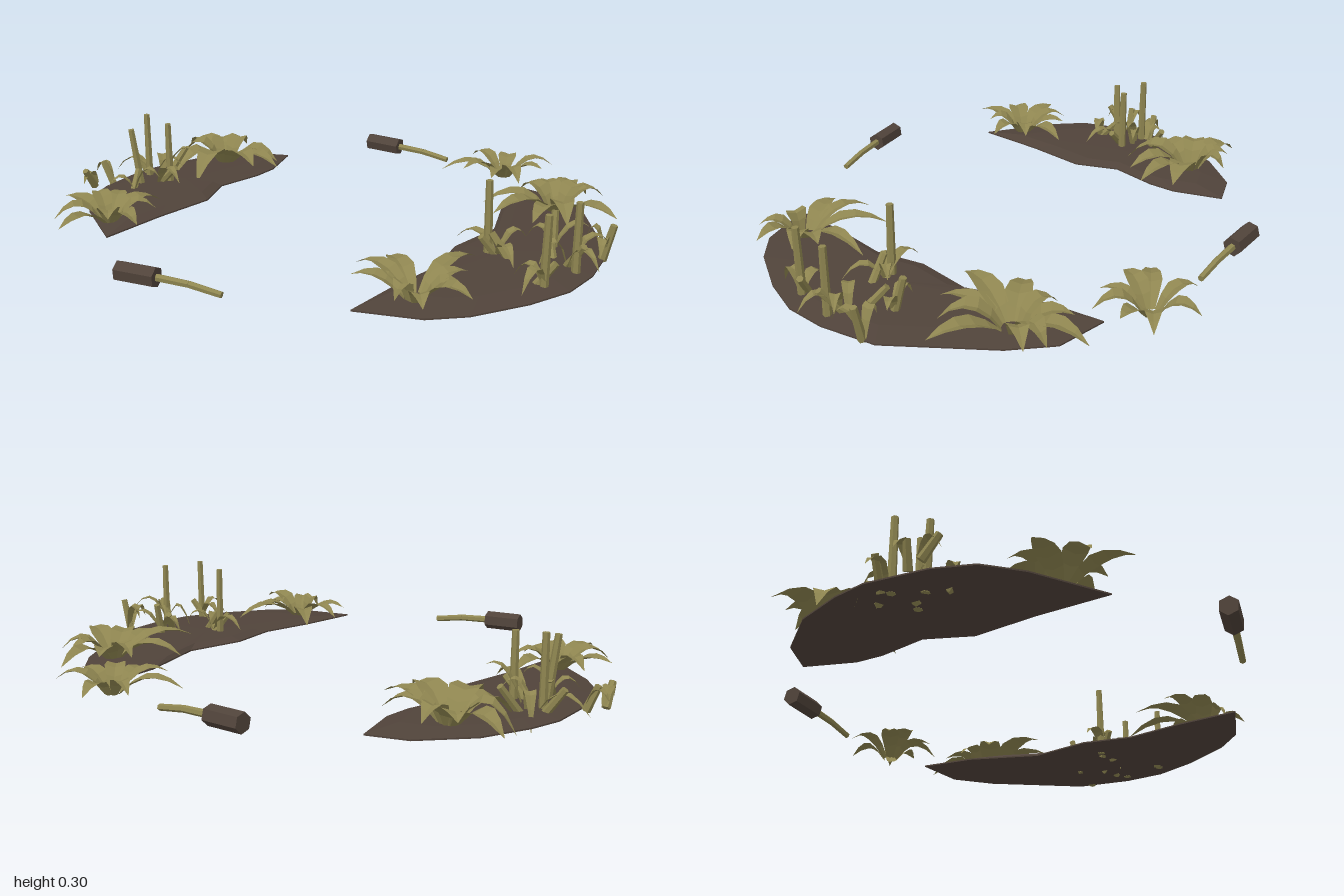
import * as THREE from 'three';

const mat = (name, color, side = THREE.FrontSide) => {
  const m = new THREE.MeshStandardMaterial({ color, side, flatShading: true });
  m.name = name;
  return m;
};
const leafMat = mat('olive leaf', 0x8e8550, THREE.DoubleSide);
const brown = mat('dark brown', 0x50433a);
const V = (x, y, z) => new THREE.Vector3(x, y, z);

function mesh(name, positions, material) {
  const g = new THREE.BufferGeometry();
  g.setAttribute('position', new THREE.Float32BufferAttribute(positions.flatMap(p => [p.x, p.y, p.z]), 3));
  g.computeVertexNormals();
  const m = new THREE.Mesh(g, material);
  m.name = name;
  return m;
}

// Low dome of soil over a flat underside; outline runs clockwise seen from above
function soil(name, outline) {
  const c = outline.reduce((s, [x, z]) => s.add(V(x, 0, z)), V(0, 0, 0)).divideScalar(outline.length);
  const at = (i, s, y) => {
    const [x, z] = outline[i % outline.length];
    return V(c.x + (x - c.x) * s, y, c.z + (z - c.z) * s);
  };
  const pts = [], top = V(c.x, 0.057, c.z), base = V(c.x, 0.036, c.z);
  for (let i = 0; i < outline.length; i++) {
    const a = at(i, 1, 0.041), b = at(i + 1, 1, 0.041);
    const ai = at(i, 0.75, 0.053), bi = at(i + 1, 0.75, 0.053);
    const al = at(i, 1, 0.036), bl = at(i + 1, 1, 0.036);
    pts.push(a, ai, b, b, ai, bi, ai, top, bi);
    pts.push(al, a, b, al, b, bl, al, bl, base);
  }
  return mesh(name, pts, brown);
}

// Arched blade with a folded midrib, tapering to a point
function leaf(base, tip, rise, width) {
  const curve = new THREE.QuadraticBezierCurve3(base,
    V(base.x * 0.55 + tip.x * 0.45, rise * 2 - (base.y + tip.y) / 2, base.z * 0.55 + tip.z * 0.45), tip);
  const side = V(tip.z - base.z, 0, base.x - tip.x).normalize();
  const rows = [0.4, 0.75, 1, 0.85, 0.5, 0].map((w, i) => {
    const p = curve.getPoint(i / 5), h = w * width / 2;
    const l = p.clone().addScaledVector(side, h), r = p.clone().addScaledVector(side, -h);
    l.y += h * 0.3;
    r.y += h * 0.3;
    return [l, p, r];
  });
  const pts = [];
  for (let i = 0; i < 5; i++) for (let k = 0; k < 2; k++) {
    const a = rows[i][k], b = rows[i][k + 1], c = rows[i + 1][k], d = rows[i + 1][k + 1];
    pts.push(a, c, b);
    if (i < 4) pts.push(b, c, d);
  }
  return mesh('leaf', pts, leafMat);
}

// Straight rod between two points
function rod(name, a, b, r0, r1, sides, material) {
  const d = b.clone().sub(a);
  const m = new THREE.Mesh(new THREE.CylinderGeometry(r1, r0, d.length(), sides), material);
  m.name = name;
  m.position.copy(a).add(b).multiplyScalar(0.5);
  m.quaternion.setFromUnitVectors(V(0, 1, 0), d.normalize());
  return m;
}

// Rosette of broad leaves: tips are [x, z, optional tip height]
function rosette(name, cx, cz, rise, width, tips) {
  const g = new THREE.Group();
  g.name = name;
  tips.forEach(([x, z, y], i) => {
    const d = V(x - cx, 0, z - cz).normalize().multiplyScalar(0.025);
    g.add(leaf(V(cx + d.x, 0.042, cz + d.z), V(x, y ?? 0.07 + (i % 3) * 0.015, z),
      rise + (i % 2) * 0.012, width * (i % 3 === 1 ? 0.85 : 1)));
  });
  return g;
}

// Reeds: stalks are [x, z, top height, lean x, lean z]; blades are [x, z, tip x, tip z, rise, tip height]
function reeds(name, stalks, blades) {
  const g = new THREE.Group();
  g.name = name;
  for (const [x, z, h, lx, lz] of stalks)
    g.add(rod('stalk', V(x, 0.035, z), V(x + lx, h, z + lz), 0.015, 0.012, 6, leafMat));
  for (const [x, z, tx, tz, rise, ty] of blades)
    g.add(leaf(V(x, 0.045, z), V(tx, ty, tz), rise, 0.042));
  return g;
}

// Fallen bulrush: six-sided head on a bent stem
function bulrush(name, end, neck, tip) {
  const g = new THREE.Group();
  g.name = name;
  const mid = neck.clone().lerp(tip, 0.5);
  mid.y += 0.006;
  g.add(rod('seedHead', end, neck, 0.034, 0.034, 6, brown));
  g.add(rod('stem', neck, mid, 0.013, 0.012, 6, leafMat));
  g.add(rod('stemEnd', mid, tip, 0.012, 0.011, 6, leafMat));
  return g;
}

export function createModel() {
  const model = new THREE.Group();
  model.name = 'pondEdgePlants';

  // Soil banks
  model.add(soil('leftBank', [[0.27, -0.72], [0.46, -0.735], [0.6, -0.65], [0.87, -0.39], [0.94, -0.2], [0.96, -0.05],
    [0.93, 0.11], [0.86, 0.3], [0.78, 0.41], [0.59, 0.52], [0.56, 0.3], [0.55, 0.09], [0.48, -0.08], [0.47, -0.3], [0.33, -0.53]]));
  model.add(soil('rightBank', [[-0.66, -0.36], [-0.57, -0.2], [-0.55, -0.1], [-0.55, 0.08], [-0.46, 0.22], [-0.44, 0.45],
    [-0.4, 0.7], [-0.66, 0.6], [-0.78, 0.52], [-0.85, 0.4], [-0.91, 0.2], [-0.91, 0.08], [-0.88, -0.1], [-0.78, -0.28]]));

  // Broad-leaved rosettes
  model.add(rosette('backRosette', 0.135, -0.78, 0.1, 0.07, [[0.06, -0.92], [0.265, -0.92], [0.295, -0.81], [0.285, -0.68],
    [0.2, -0.62], [0.08, -0.6], [-0.035, -0.61], [-0.045, -0.81]]));
  model.add(rosette('leftBackRosette', 0.52, -0.59, 0.11, 0.085, [[0.43, -0.83], [0.61, -0.75], [0.8, -0.545], [0.68, -0.43],
    [0.6, -0.34], [0.47, -0.29], [0.32, -0.42], [0.35, -0.6], [0.38, -0.71], [0.53, -0.76]]));
  model.add(rosette('leftFrontRosette', 0.68, 0.34, 0.105, 0.075, [[0.43, 0.2], [0.42, 0.33], [0.5, 0.43], [0.68, 0.43],
    [0.8, 0.44], [0.875, 0.31], [0.79, 0.23], [0.645, 0.02], [0.73, 0.16]]));
  model.add(rosette('rightBackRosette', -0.755, -0.11, 0.115, 0.1, [[-0.995, -0.115], [-0.92, 0.01, 0.03], [-0.79, 0.13, 0.03],
    [-0.64, 0.13, 0.04], [-0.465, -0.13], [-0.5, -0.04], [-0.555, -0.21], [-0.79, -0.25], [-0.88, -0.19]]));
  model.add(rosette('rightFrontRosette', -0.515, 0.61, 0.1, 0.08, [[-0.52, 0.39], [-0.69, 0.55], [-0.715, 0.66], [-0.6, 0.78],
    [-0.47, 0.84], [-0.4, 0.69], [-0.355, 0.605], [-0.42, 0.48], [-0.62, 0.48]]));

  // Reed clumps: tall upright stalks, short leaning stubs and drooping blades
  model.add(reeds('leftReeds', [
    [0.61, -0.09, 0.3, -0.005, 0], [0.895, -0.17, 0.28, 0, 0], [0.89, -0.01, 0.28, 0.005, 0],
    [0.73, -0.28, 0.17, -0.02, -0.03], [0.88, -0.34, 0.16, 0.03, -0.01], [0.84, -0.19, 0.14, 0.08, 0.02],
    [0.64, -0.11, 0.12, -0.03, 0.06], [0.7, -0.1, 0.13, -0.07, 0.02], [0.79, -0.2, 0.12, -0.06, -0.05], [0.86, 0, 0.12, 0.05, -0.04]
  ], [
    [0.73, -0.28, 0.81, -0.37, 0.13, 0.12], [0.73, -0.28, 0.64, -0.25, 0.12, 0.07], [0.88, -0.34, 0.93, -0.25, 0.13, 0.08],
    [0.88, -0.35, 0.82, -0.33, 0.14, 0.1], [0.86, -0.18, 0.99, -0.155, 0.13, 0.08], [0.86, -0.18, 0.94, -0.29, 0.15, 0.12],
    [0.84, -0.2, 0.78, -0.12, 0.13, 0.02], [0.64, -0.1, 0.49, -0.07, 0.12, 0.08], [0.64, -0.1, 0.76, -0.03, 0.11, 0.06],
    [0.89, -0.01, 0.89, 0.1, 0.12, 0.05], [0.89, -0.01, 0.79, 0.01, 0.11, 0.06], [0.64, -0.1, 0.69, -0.19, 0.13, 0.1]
  ]));
  model.add(reeds('rightReeds', [
    [-0.82, 0.22, 0.295, 0, 0], [-0.76, 0.3, 0.265, -0.015, 0.025], [-0.7, 0.21, 0.28, 0, 0],
    [-0.8, 0.15, 0.14, 0.02, -0.08], [-0.74, 0.24, 0.12, 0.09, -0.02], [-0.72, 0.37, 0.12, -0.05, -0.07],
    [-0.84, 0.2, 0.13, -0.06, 0.03], [-0.88, 0.35, 0.12, -0.03, 0.02], [-0.9, 0.42, 0.11, 0.02, 0.05]
  ], [
    [-0.82, 0.2, -0.97, 0.27, 0.11, 0.05], [-0.72, 0.25, -0.56, 0.27, 0.13, 0.09], [-0.75, 0.2, -0.65, 0.13, 0.16, 0.17],
    [-0.8, 0.17, -0.87, 0.12, 0.12, 0.0], [-0.72, 0.36, -0.64, 0.3, 0.13, 0.1], [-0.72, 0.36, -0.78, 0.44, 0.1, 0.06],
    [-0.88, 0.35, -0.96, 0.37, 0.11, 0.07], [-0.9, 0.41, -0.88, 0.48, 0.1, 0.06], [-0.78, 0.22, -0.7, 0.15, 0.13, 0.1]
  ]));

  // Fallen bulrushes
  model.add(bulrush('backBulrush', V(-0.47, 0.081, -0.655), V(-0.335, 0.078, -0.69), V(-0.125, 0.057, -0.745)));
  model.add(bulrush('frontBulrush', V(-0.055, 0.078, 0.885), V(0.07, 0.076, 0.83), V(0.27, 0.054, 0.74)));
  return model;
}
